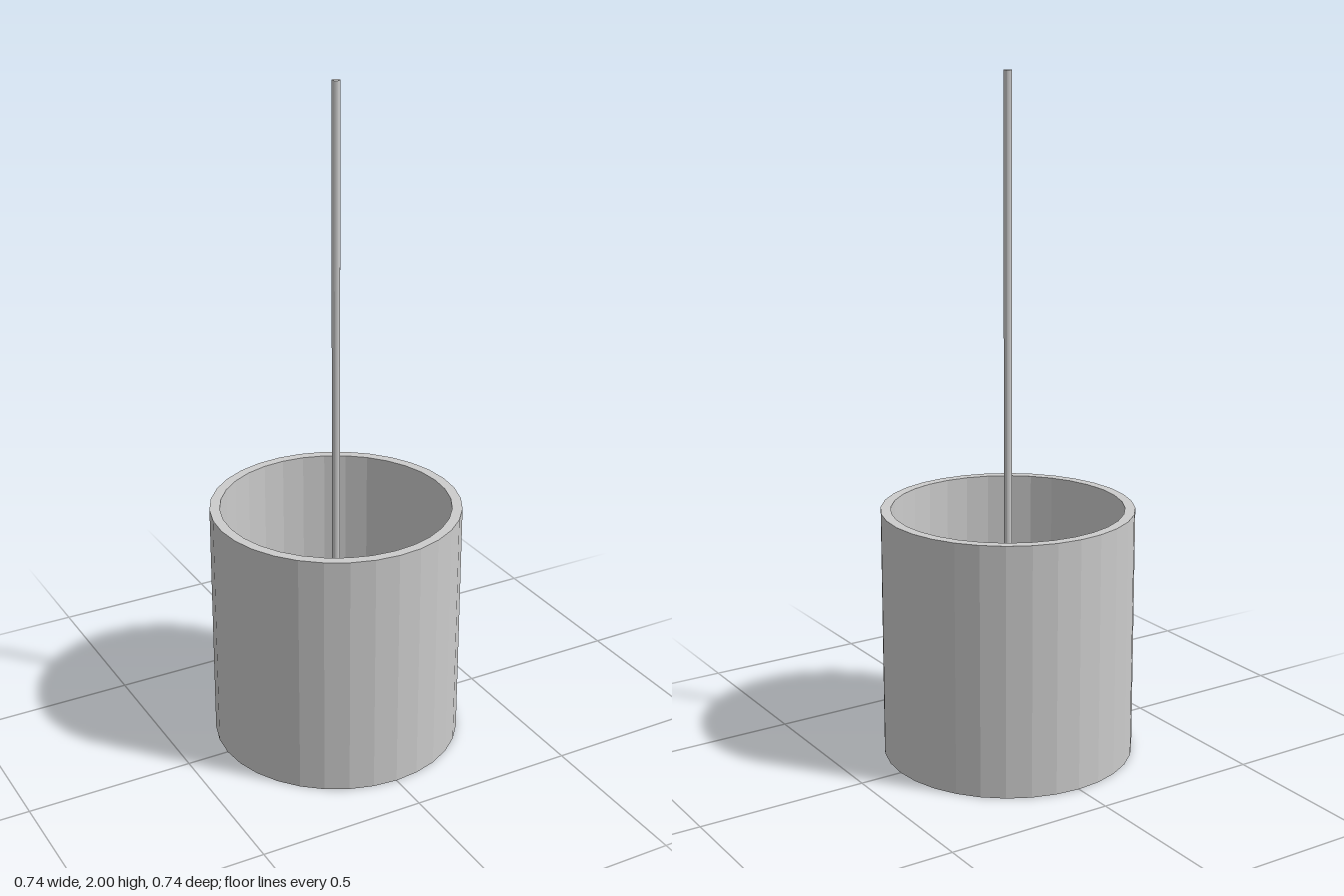
import * as THREE from 'three';

export function createModel() {
  const group = new THREE.Group();
  const material = new THREE.MeshStandardMaterial({ color: 0xcccccc, flatShading: true });
  const outer = 0.372, inner = 0.342, height = 0.745;
  const rodRadius = 0.012, rodBottom = 0.37, rodTop = 2;

  // Thick-walled drum, open at both ends
  const profile = [
    [outer, 0], [outer, height], [inner, height], [inner, 0], [outer, 0],
  ].map(([r, y]) => new THREE.Vector2(r, y));
  const shade = new THREE.Mesh(new THREE.LatheGeometry(profile, 32), material);
  shade.name = 'shade';
  group.add(shade);

  // Thin hanging rod ending inside the drum
  const rod = new THREE.Mesh(
    new THREE.CylinderGeometry(rodRadius, rodRadius, rodTop - rodBottom, 16), material);
  rod.position.y = (rodTop + rodBottom) / 2;
  rod.name = 'hangingRod';
  group.add(rod);

  return group;
}
